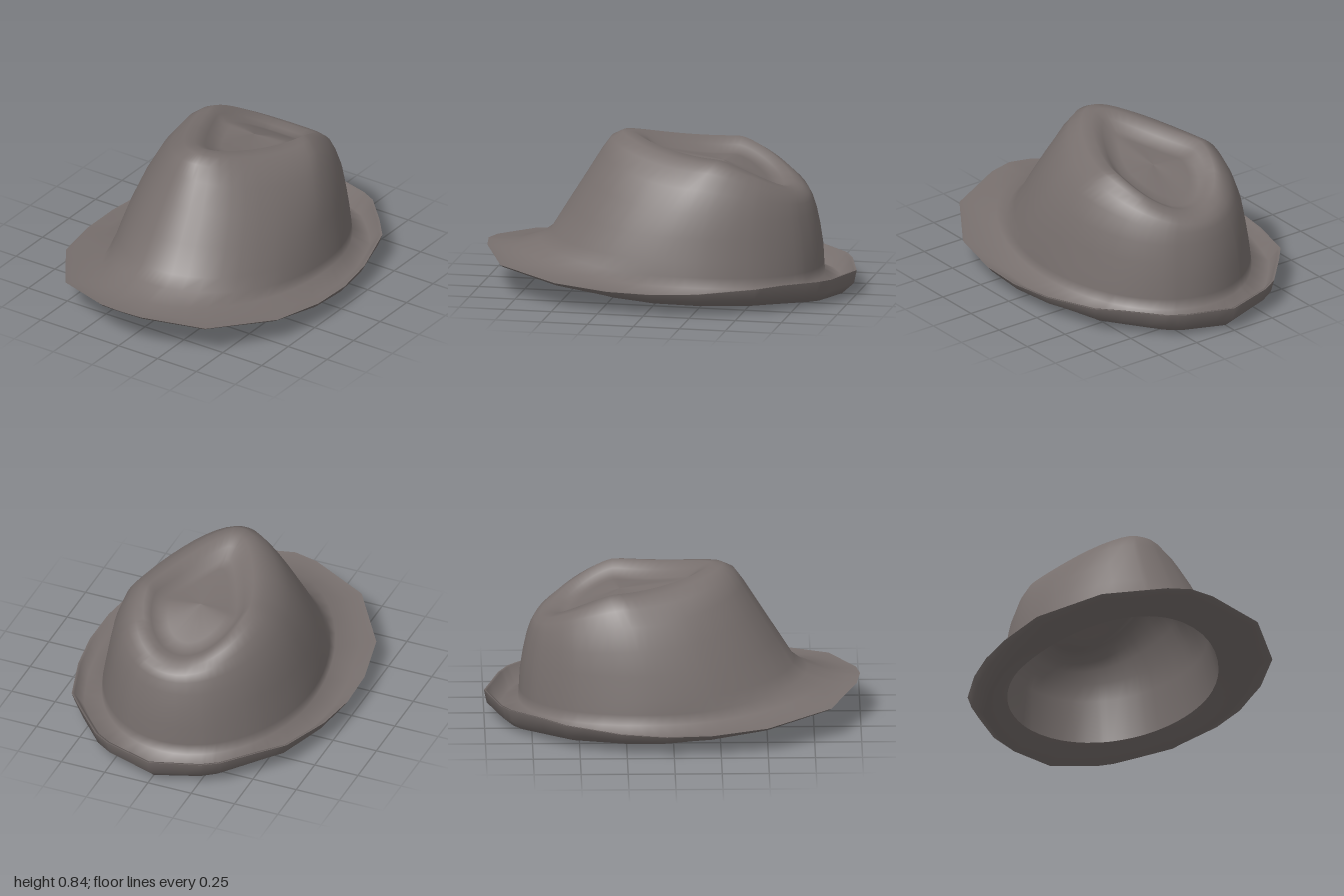
import * as THREE from 'three';

const felt = new THREE.MeshStandardMaterial({ color: 0x776f6d });
felt.name = 'warm grey felt';

// Brim outline, front to back on one side: x, z, edge height, lowest height beneath
const OUTLINE = [
  [0, 1, 0.212, 0.188], [0.13, 0.98, 0.203, 0.177], [0.45, 0.84, 0.17, 0.147],
  [0.68, 0.5, 0.14, 0.11], [0.74, 0.2, 0.12, 0.07], [0.745, -0.04, 0.115, 0.05],
  [0.71, -0.28, 0.12, 0.04], [0.62, -0.58, 0.142, 0.035], [0.52, -0.7, 0.147, 0.03],
  [0.36, -0.87, 0.14, 0.018], [0.27, -0.92, 0.135, 0.01], [0, -1, 0.13, 0],
];

// Crown rings from base to centre of the dent:
// front z, back z, half width, widest z, front pinch, heights at front, middle, back
const CROWN = [
  [0.84, -0.82, 0.575, -0.1, 0, 0.209, 0.125, 0.09],
  [0.72, -0.815, 0.568, -0.1, 0, 0.25, 0.18, 0.15],
  [0.65, -0.81, 0.553, -0.1, 0, 0.30, 0.26, 0.25],
  [0.56, -0.795, 0.528, -0.12, 0.03, 0.445, 0.38, 0.35],
  [0.46, -0.775, 0.495, -0.16, 0.08, 0.605, 0.51, 0.44],
  [0.38, -0.755, 0.445, -0.2, 0.14, 0.735, 0.63, 0.50],
  [0.33, -0.735, 0.39, -0.25, 0.2, 0.805, 0.71, 0.535],
  [0.27, -0.70, 0.335, -0.28, 0.3, 0.836, 0.75, 0.56],
  [0.21, -0.65, 0.29, -0.3, 0.4, 0.836, 0.765, 0.58],
  [0.14, -0.60, 0.25, -0.3, 0.5, 0.80, 0.725, 0.572],
  [0.08, -0.56, 0.21, -0.3, 0.55, 0.755, 0.69, 0.57],
  [0.01, -0.51, 0.16, -0.3, 0.5, 0.735, 0.693, 0.595],
  [-0.13, -0.41, 0.08, -0.29, 0.3, 0.717, 0.698, 0.65],
  [-0.28, -0.28, 0, -0.28, 0, 0.698, 0.698, 0.698],
];

// Mirror the outline and split each straight edge into short steps
function makeSpokes(steps = 3) {
  const mirrored = OUTLINE.slice(1, -1).reverse().map(([x, ...rest]) => [-x, ...rest]);
  const loop = [...OUTLINE, ...mirrored];
  const spokes = [];
  loop.forEach((p, i) => {
    const q = loop[(i + 1) % loop.length];
    for (let k = 0; k < steps; k++) {
      const [x, z, edge, low] = p.map((v, n) => v + (q[n] - v) * k / steps);
      spokes.push({ x, z, edge, low, angle: Math.atan2(x / 0.74, z) });
    }
  });
  return spokes;
}

// One egg-shaped ring, pinched towards the front
function eggRing(spokes, [front, back, width, mid, pinch, yFront, yMid, yBack]) {
  return spokes.map(({ angle }) => {
    const c = Math.cos(angle), ahead = c > 0;
    const rise = ahead ? (yFront - yMid) * c * c : (yBack - yMid) * Math.pow(-c, 1.4);
    return new THREE.Vector3(
      width * Math.sin(angle) * (ahead ? 1 - pinch * c : 1),
      yMid + rise,
      mid + (ahead ? front - mid : mid - back) * c
    );
  });
}

// Skin a list of closed rings
function loft(name, rings) {
  const n = rings[0].length, index = [];
  for (let i = 0; i < rings.length - 1; i++) {
    for (let j = 0; j < n; j++) {
      const k = (j + 1) % n;
      const a = i * n + j, b = i * n + k, c = a + n, d = b + n;
      index.push(a, b, d, a, d, c);
    }
  }
  const geometry = new THREE.BufferGeometry().setFromPoints(rings.flat());
  geometry.setIndex(index);
  geometry.computeVertexNormals();
  const mesh = new THREE.Mesh(geometry, felt);
  mesh.name = name;
  return mesh;
}

export function createModel() {
  const hat = new THREE.Group();
  hat.name = 'hat';
  const spokes = makeSpokes();
  const crown = CROWN.map(ring => eggRing(spokes, ring));

  // Brim rings: outer edge, rolled lip, gutter and underside
  const edge = spokes.map(s => new THREE.Vector3(s.x, s.edge, s.z));
  const lip = spokes.map(s => new THREE.Vector3(s.x * 0.98, s.edge - 0.002, s.z * 0.985));
  const gutter = spokes.map((s, i) => {
    const p = crown[0][i].clone().lerp(edge[i], 0.6);
    p.y = Math.min(s.low + 0.038, s.edge - 0.004);
    return p;
  });
  const flank = spokes.map(s =>
    new THREE.Vector3(s.x * 0.97, s.low + (s.edge - s.low) * 0.45, s.z * 0.985));
  const low = spokes.map(s => new THREE.Vector3(s.x * 0.88, s.low, s.z * 0.92));
  const opening = eggRing(spokes, [0.66, -0.76, 0.53, -0.08, 0, 0.19, 0.11, 0.08]);

  // Hollow inside of the crown, slightly smaller than the outside
  const lining = CROWN.slice(3).map(([f, b, w, m, p, ...heights], i) => {
    const inset = i < 5 ? 0.022 : 0;
    return eggRing(spokes, [f - inset, b + inset, w - inset, m, p, ...heights.map(y => y - 0.025)]);
  });

  hat.add(
    loft('crownAndBrimTop', [edge, lip, gutter, ...crown]),
    loft('brimUnderside', [opening, low, flank, edge]),
    loft('crownLining', [...lining.reverse(), opening])
  );
  return hat;
}
